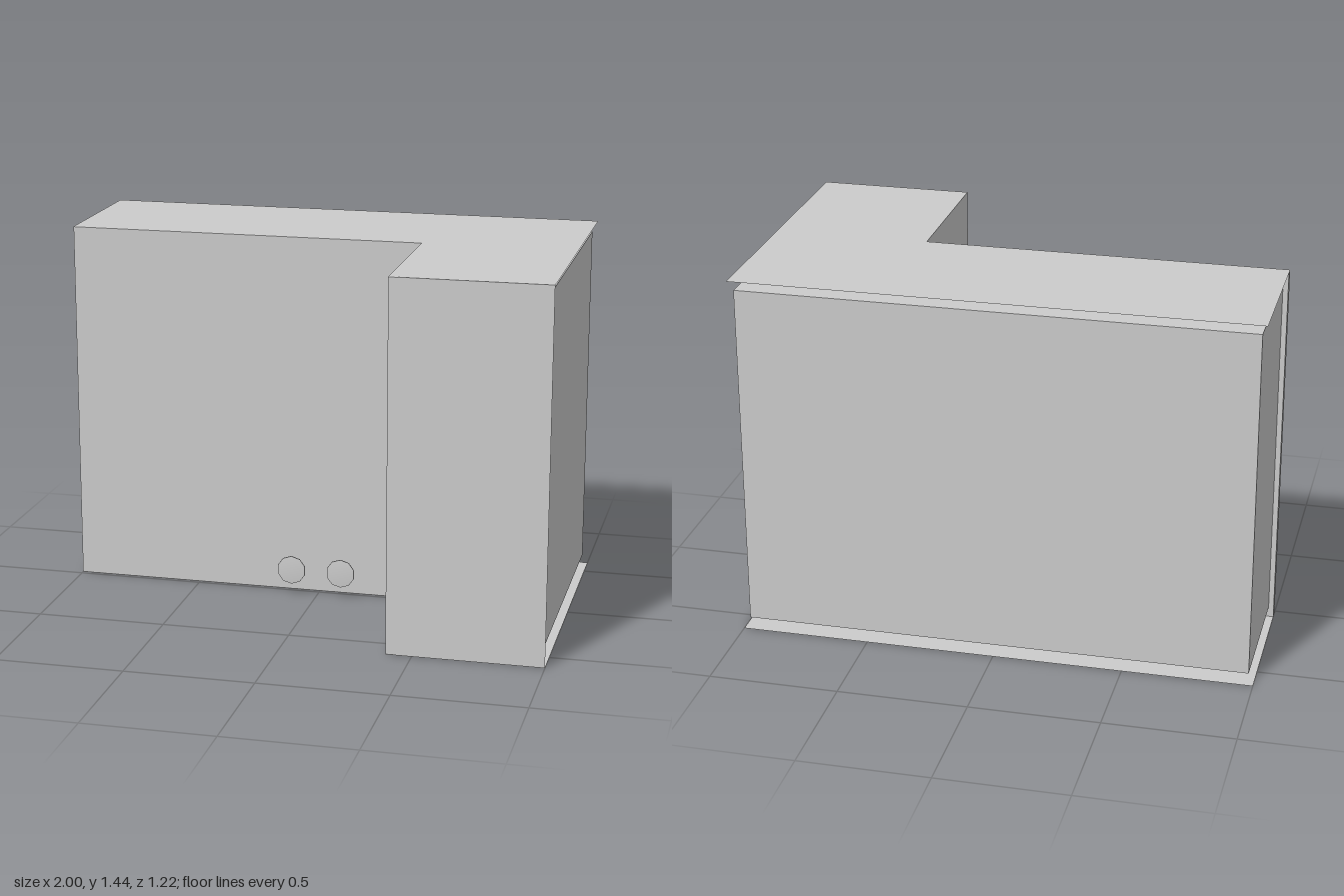
import * as THREE from 'three';

const H = 1.44, W = 1, D = 0.61;         // height, half width, half depth
const LEG_X = 0.4, RUN_Z = -0.015;       // inner corner of the L
const T = 0.035;                         // door thickness

// L-shaped outline in plan, drawn with shape y = -z
function lShape(w, d, legX, runZ) {
  return new THREE.Shape([
    [-w, -d], [-w, runZ], [legX, runZ], [legX, d], [w, d], [w, -d],
  ].map(([x, z]) => new THREE.Vector2(x, -z)));
}

export function createModel() {
  const group = new THREE.Group();
  const solid = new THREE.MeshStandardMaterial({ color: 0xcccccc });
  const sheet = new THREE.MeshStandardMaterial({ color: 0xcccccc, side: THREE.DoubleSide });

  function add(name, geometry, material, x = 0, y = 0, z = 0) {
    const mesh = new THREE.Mesh(geometry, material);
    mesh.name = name;
    mesh.position.set(x, y, z);
    group.add(mesh);
    return mesh;
  }

  // Carcass, inset behind the outer sheets
  const carcass = new THREE.ExtrudeGeometry(
    lShape(W - 0.02, D - 0.02, LEG_X + T, RUN_Z - T),
    { depth: H - 0.08, bevelEnabled: false });
  carcass.rotateX(-Math.PI / 2);
  add('carcass', carcass, solid, 0, 0.04, 0);

  // Thin top and bottom sheets
  const plate = new THREE.ShapeGeometry(lShape(W, D, LEG_X, RUN_Z));
  plate.rotateX(-Math.PI / 2);
  add('topPlate', plate, sheet, 0, H, 0);
  add('bottomPlate', plate, sheet);

  // Thin front sheet closing the end of the leg
  const endW = W - LEG_X - T;
  add('legFrontPanel', new THREE.PlaneGeometry(endW, H), sheet, W - endW / 2, H / 2, D);

  // Doors along the two inner faces
  const doorH = H - 0.002;
  const runW = W + LEG_X;
  add('runDoor', new THREE.BoxGeometry(runW, doorH, T), solid, -W + runW / 2, H / 2, RUN_Z - T / 2);
  const legD = D - RUN_Z + T;
  add('legDoor', new THREE.BoxGeometry(T, doorH, legD), solid, LEG_X + T / 2, H / 2, D - legD / 2);

  // Flared knobs low on the run door
  const profile = [[0.022, 0], [0.022, 0.04], [0.058, 0.07], [0.057, 0.075], [0, 0.075]]
    .map(([r, y]) => new THREE.Vector2(r, y));
  const knob = new THREE.LatheGeometry(profile, 10);
  knob.rotateX(Math.PI / 2);
  for (const [name, x] of [['rightKnob', -0.1], ['leftKnob', 0.1]]) {
    add(name, knob, solid, x, 0.105, RUN_Z);
  }

  return group;
}
